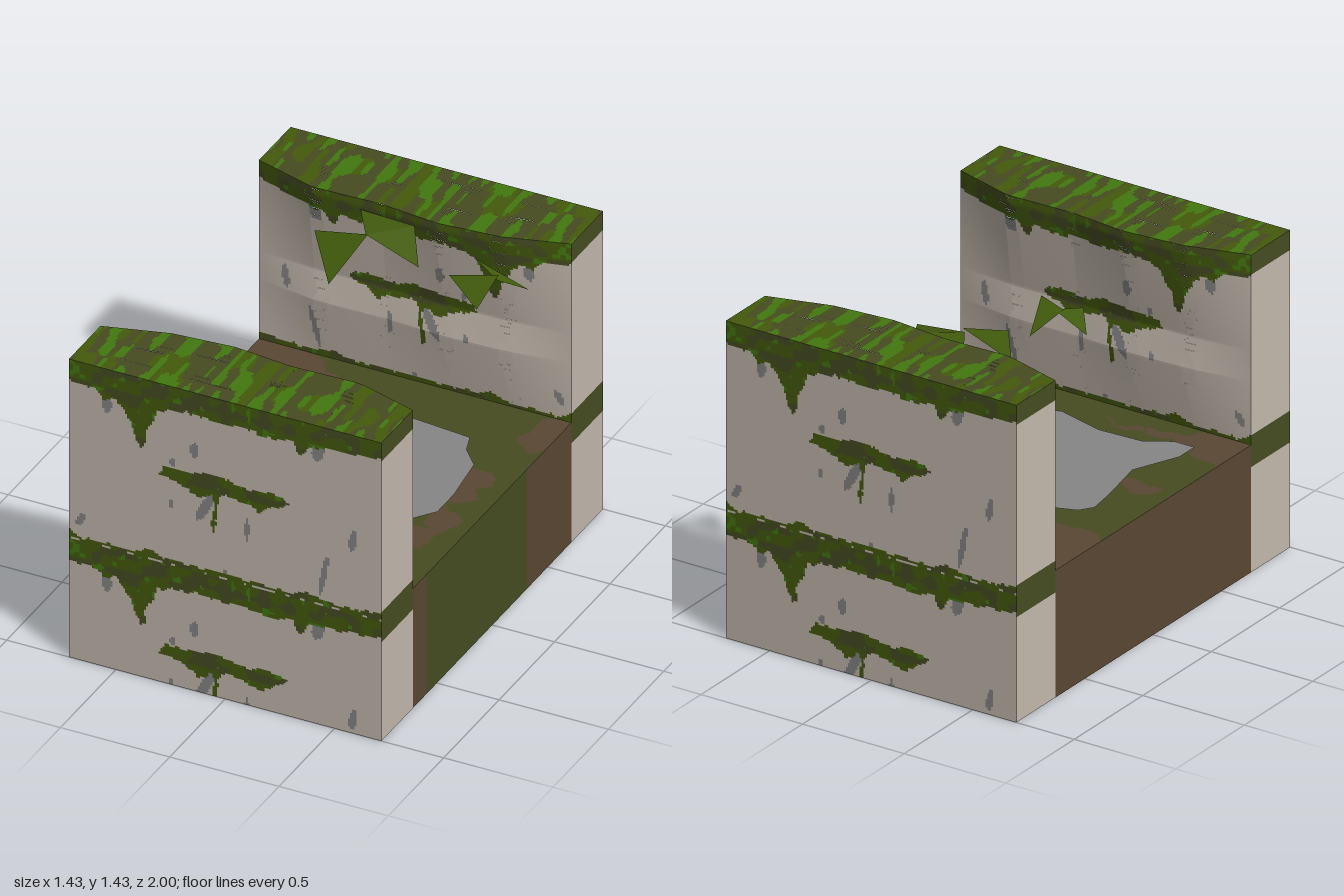
import * as THREE from 'three';

const mat = (name, color, extra = {}) => {
  const m = new THREE.MeshStandardMaterial({ color, ...extra });
  m.name = name;
  return m;
};
const W = 0.715, H = 1.435, FLOOR = 0.575, TILE = 0.86;

// smooth seeded value noise, 0..1
const hash = (x, y) => {
  const s = Math.sin(x * 127.1 + y * 311.7) * 43758.5453;
  return s - Math.floor(s);
};
const noise = (x, y) => {
  const i = Math.floor(x), j = Math.floor(y), f = x - i, g = y - j;
  const a = f * f * (3 - 2 * f), b = g * g * (3 - 2 * g);
  const top = hash(i, j + 1) * (1 - a) + hash(i + 1, j + 1) * a;
  return (hash(i, j) * (1 - a) + hash(i + 1, j) * a) * (1 - b) + top * b;
};
const lookup = (pts, x) => {
  for (let i = 1; i < pts.length; i++) {
    const [x0, y0] = pts[i - 1], [x1, y1] = pts[i];
    if (x <= x1) return y0 + (y1 - y0) * (x - x0) / (x1 - x0);
  }
  return pts[pts.length - 1][1];
};
const inside = (poly, x, y) => {
  let hit = false;
  poly.forEach(([x0, y0], i) => {
    const [x1, y1] = poly[(i + 1) % poly.length];
    if ((y0 > y) !== (y1 > y) && x < x0 + (x1 - x0) * (y - y0) / (y1 - y0)) hit = !hit;
  });
  return hit;
};
const inEllipse = ([cx, cy, rx, ry, lean = 0], x, y) =>
  ((x - cx - lean * (y - cy)) / rx) ** 2 + ((y - cy) / ry) ** 2 < 1;

// moss outlines on the walls
const bandEdge = [[-0.72, 1.33], [-0.6, 1.325], [-0.56, 1.29], [-0.5, 1.3], [-0.46, 1.25], [-0.43, 1.21],
  [-0.4, 1.13], [-0.385, 1.1], [-0.368, 1.12], [-0.36, 1.2], [-0.33, 1.24], [-0.315, 1.305], [-0.2, 1.325],
  [-0.1, 1.33], [0, 1.315], [0.1, 1.325], [0.2, 1.31], [0.31, 1.33], [0.335, 1.265], [0.36, 1.275],
  [0.38, 1.32], [0.5, 1.335], [0.72, 1.355]];
const fringe = [[-0.72, 0.62], [-0.66, 0.59], [-0.55, 0.595], [-0.4, 0.6], [-0.35, 0.622], [-0.28, 0.6],
  [0, 0.592], [0.2, 0.597], [0.3, 0.595], [0.37, 0.615], [0.45, 0.6], [0.6, 0.6], [0.72, 0.615]];
const patch = [[-0.3, 1], [-0.28, 1.045], [-0.15, 1.05], [-0.05, 1.065], [0.1, 1.035], [0.15, 1.05],
  [0.25, 1.045], [0.3, 1.02], [0.25, 0.995], [0.2, 0.97], [0.15, 0.94], [0.1, 0.97], [0, 0.985],
  [-0.03, 0.95], [-0.03, 0.91], [-0.042, 0.85], [-0.042, 0.78], [-0.062, 0.78], [-0.065, 0.85],
  [-0.045, 0.92], [-0.06, 0.965], [-0.12, 0.93], [-0.17, 0.965], [-0.22, 0.985]];
const chips = [[-0.54, 1.265, 0.022, 0.04], [-0.14, 1.155, 0.02, 0.037], [-0.24, 1.07, 0.014, 0.02],
  [-0.25, 0.87, 0.012, 0.02], [-0.09, 0.9, 0.025, 0.075, 0.5], [0.1, 0.845, 0.011, 0.056],
  [0.585, 0.925, 0.018, 0.05, 0.15], [0.45, 0.72, 0.014, 0.1, 0.18], [0.425, 1.31, 0.028, 0.045, 0.2],
  [-0.66, 0.68, 0.018, 0.033, 0.4], [0, 0.605, 0.008, 0.025]];

// floor outlines as [x, z]
const slab = [[-0.54, 0.56], [-0.54, 0.45], [-0.45, 0.24], [-0.5, 0], [-0.52, -0.14], [-0.48, -0.2],
  [-0.37, -0.24], [-0.2, -0.35], [-0.12, -0.46], [0.1, -0.45], [0.4, -0.42], [0.43, -0.33], [0.51, -0.24],
  [0.54, 0], [0.54, 0.15], [0.43, 0.3], [0.2, 0.51], [0.1, 0.54], [-0.12, 0.48], [-0.33, 0.49], [-0.44, 0.56]];
const earthSpots = [[-0.62, -0.55, 0.24, 0.21], [-0.38, -0.5, 0.14, 0.12], [-0.68, 0.6, 0.2, 0.16],
  [-0.45, 0.6, 0.17, 0.05], [0.7, -0.6, 0.13, 0.14], [0.56, -0.1, 0.06, 0.15], [0.6, 0.17, 0.07, 0.1],
  [0.55, 0.33, 0.04, 0.09], [-0.55, 0.13, 0.08, 0.05], [-0.2, 0.57, 0.08, 0.02]];

// inner wall face bulges toward the middle
const bulgeX = [[-W, 0], [-0.43, 0.085], [-0.15, 0.11], [0.12, 0.08], [0.43, 0.09], [W, 0]];
const bulgeY = [[0, 0], [FLOOR, 0], [0.86, 0.45], [1, 0.25], [1.4, 0.95], [H, 0.95]];
const innerZ = (x, y) => W - lookup(bulgeX, x) * lookup(bulgeY, y);

export function createModel() {
  const M = {
    plaster: mat('plaster', 0xc4baae), stone: mat('stone', 0x868686),
    moss: mat('dark moss', 0x464c22), olive: mat('olive moss', 0x455a0c),
    bright: mat('bright moss', 0x42780f), earth: mat('earth', 0x5a4734),
    leaf: mat('leaf', 0x425c0c, { side: THREE.DoubleSide }),
  };
  const model = new THREE.Group();

  // surface cut into coloured cells; equal neighbours in a row are merged
  const sheet = (parent, name, nu, nv, pos, colourAt, maxRun = 999) => {
    const buckets = {};
    for (let j = 0; j < nv; j++) {
      const v0 = j / nv, v1 = (j + 1) / nv;
      const pick = i => colourAt(...pos((i + 0.5) / nu, (v0 + v1) / 2));
      for (let i = 0; i < nu;) {
        const c = pick(i);
        let k = i + 1;
        while (k < nu && k - i < maxRun && pick(k) === c) k++;
        const a = pos(i / nu, v0), b = pos(k / nu, v0), d = pos(k / nu, v1), e = pos(i / nu, v1);
        (buckets[c] ??= []).push(...a, ...b, ...d, ...a, ...d, ...e);
        i = k;
      }
    }
    const geo = new THREE.BufferGeometry(), all = [], mats = [];
    for (const [c, pts] of Object.entries(buckets)) {
      geo.addGroup(all.length / 3, pts.length / 3, mats.length);
      mats.push(M[c]);
      for (const p of pts) all.push(p);
    }
    geo.setAttribute('position', new THREE.Float32BufferAttribute(all, 3));
    geo.computeVertexNormals();
    const mesh = new THREE.Mesh(geo, mats);
    mesh.name = name;
    parent.add(mesh);
  };

  const mossColour = (x, y) => {
    if (noise(x * 28 + 9, y * 30) > 0.84) return 'bright';
    return noise(x * 17, y * 24 + 5) > 0.6 ? 'moss' : 'olive';
  };
  const wallColour = (x, y) => {
    const jx = x + (noise(x * 60, y * 60) - 0.5) * 0.012, jy = y + (noise(x * 45, y * 45 + 7) - 0.5) * 0.018;
    if (y < 0.63 && jy < lookup(fringe, x) && jy > FLOOR) return mossColour(x, y);
    const t = y > FLOOR ? 0 : TILE;
    if (jy + t > lookup(bandEdge, jx) || inside(patch, jx, jy + t)) return mossColour(x, y + t);
    return chips.some(c => inEllipse(c, x, y + t)) ? 'stone' : 'plaster';
  };
  const endColour = (x, y) => (y > 1.345 || (y > 0.475 && y < 0.618) ? 'moss' : 'plaster');
  const topColour = (x, y, z) => {
    const zz = Math.abs(z) * 7;
    if (noise(x * 38, zz) > 0.66) return 'bright';
    return noise(x * 30 + 50, zz + 3) > 0.62 ? 'olive' : 'moss';
  };

  // two matching walls, one turned half round
  for (const [name, turn] of [['frontWall', 0], ['backWall', Math.PI]]) {
    const wall = new THREE.Group();
    wall.name = name;
    wall.rotation.y = turn;
    const X = u => -W + 2 * W * u;
    sheet(wall, 'outerFace', 150, 150, (u, v) => [X(u), H * v, 1], wallColour);
    sheet(wall, 'innerFace', 130, 90, (u, v) => {
      const y = 0.56 + (H - 0.56) * v;
      return [-X(u), y, innerZ(-X(u), y)];
    }, wallColour, 6);
    sheet(wall, 'mossyTop', 150, 26, (u, v) => [X(u), H, 1 + (innerZ(X(u), H) - 1) * v], topColour);
    sheet(wall, 'underside', 1, 1, (u, v) => [X(u), 0, W + (1 - W) * v], () => 'plaster');
    sheet(wall, 'leftEnd', 1, 160, (u, v) => [W, H * v, 1 - (1 - W) * u], endColour);
    sheet(wall, 'rightEnd', 1, 160, (u, v) => [-W, H * v, W + (1 - W) * u], endColour);
    model.add(wall);
  }

  // earth block between the walls
  const floor = new THREE.Group();
  floor.name = 'floor';
  const S = t => -W + 2 * W * t;
  sheet(floor, 'floorTop', 110, 110, (u, v) => [S(u), FLOOR, -S(v)], (x, y, z) => {
    const jx = x + (noise(x * 12, z * 12) - 0.5) * 0.1, jz = z + (noise(x * 12 + 30, z * 12) - 0.5) * 0.1;
    return earthSpots.some(e => inEllipse(e, jx, jz)) ? 'earth' : 'moss';
  });
  sheet(floor, 'floorUnderside', 100, 100, (u, v) => [S(u), 0, S(v)],
    (x, y, z) => (noise(x * 9 + 3, z * 9) > 0.55 ? 'olive' : 'earth'));
  sheet(floor, 'floorLeftSide', 143, 1, (u, v) => [W, FLOOR * v, -S(u)],
    (x, y, z) => (z < 0.6 && z > -0.315 ? 'moss' : 'earth'));
  sheet(floor, 'floorRightSide', 1, 1, (u, v) => [-W, FLOOR * v, S(u)], () => 'earth');
  model.add(floor);

  // bare stone in the middle of the floor
  const slabShape = new THREE.Shape(slab.map(([x, z]) => new THREE.Vector2(x, -z)));
  const slabMesh = new THREE.Mesh(new THREE.ShapeGeometry(slabShape).rotateX(-Math.PI / 2), M.stone);
  slabMesh.position.y = FLOOR + 0.005;
  slabMesh.name = 'stoneSlab';
  model.add(slabMesh);

  // pointed leaves growing from the inner faces
  const leaves = [
    [[-0.345, 1.33, -0.485], [-0.085, 1.4, -0.455], [-0.13, 1.295, -0.19]],
    [[-0.21, 1.385, -0.635], [-0.1, 1.39, -0.465], [0.055, 1.4, -0.6]],
    [[-0.1, 1.39, -0.465], [0.167, 1.335, -0.415], [0.055, 1.4, -0.6]],
    [[0.246, 1.255, -0.534], [0.463, 1.305, -0.555], [0.442, 1.22, -0.397]],
    [[0.32, 1.308, -0.62], [0.585, 1.25, -0.587], [0.46, 1.28, -0.55]],
    [[-0.034, 0.965, 0.524], [0.06, 1.02, 0.64], [0.16, 1.01, 0.575]],
    [[0.183, 0.94, 0.43], [0.12, 1.015, 0.585], [0.267, 1.02, 0.64]],
  ];
  leaves.forEach((pts, i) => {
    // wind every leaf so that it faces upward
    const [a, b, c] = pts.map(p => new THREE.Vector3(...p));
    const up = b.clone().sub(a).cross(c.clone().sub(a)).y > 0;
    const geo = new THREE.BufferGeometry().setFromPoints(up ? [a, b, c] : [a, c, b]);
    geo.computeVertexNormals();
    const leaf = new THREE.Mesh(geo, M.leaf);
    leaf.name = `leaf${i + 1}`;
    model.add(leaf);
  });
  return model;
}
